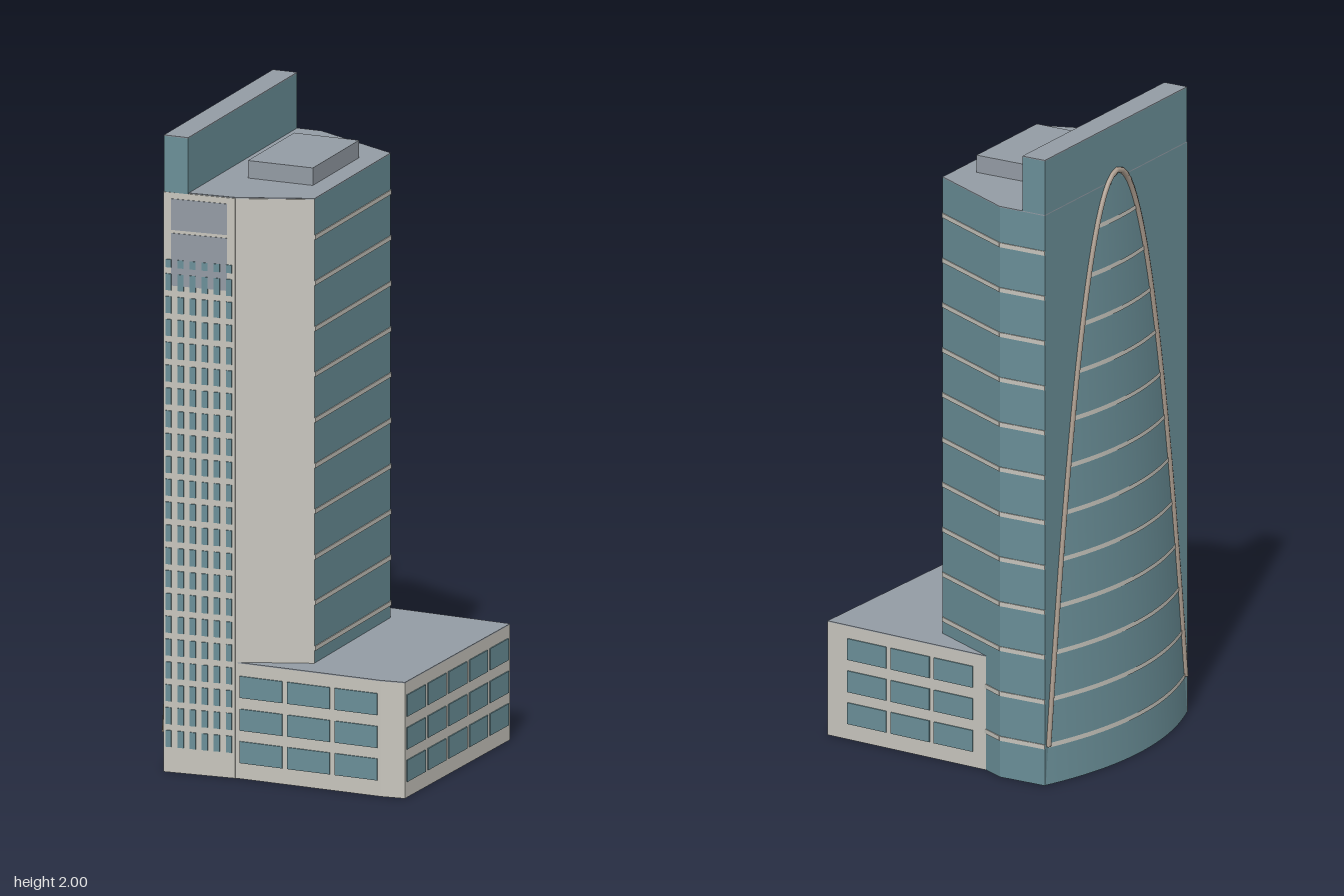
import * as THREE from 'three';
import { ParametricGeometry } from 'three/addons/geometries/ParametricGeometry.js';

const mat = (name, color, side = THREE.FrontSide) => {
  const m = new THREE.MeshStandardMaterial({ color, side });
  m.name = name;
  return m;
};

export function createModel() {
  const glass = mat('teal glass', 0x6b9099, THREE.DoubleSide);
  const stone = mat('pale stone', 0xc8c6be, THREE.DoubleSide);
  const roofGrey = mat('roof grey', 0x949ca5);
  const trim = mat('arch trim', 0xae9f91);

  const model = new THREE.Group();
  model.name = 'officeTower';
  const add = (parent, name, geo, material) => {
    const m = new THREE.Mesh(geo, material);
    m.name = name;
    parent.add(m);
    return m;
  };
  const group = (name) => {
    const g = new THREE.Group();
    g.name = name;
    model.add(g);
    return g;
  };

  // Vertical prism from a plan outline of [x, z] points
  const prism = (pts, y0, y1) => {
    const shape = new THREE.Shape(pts.map(([x, z]) => new THREE.Vector2(x, -z)));
    const geo = new THREE.ExtrudeGeometry(shape, { depth: y1 - y0, bevelEnabled: false });
    return geo.rotateX(-Math.PI / 2).translate(0, y0, 0);
  };

  // Thin plate on the wall running p -> q (left to right seen from outside)
  const plate = (parent, name, p, q, s0, s1, y0, y1, t, material) => {
    const dx = q[0] - p[0], dz = q[1] - p[1], len = Math.hypot(dx, dz);
    const ux = dx / len, uz = dz / len, s = (s0 + s1) / 2;
    const m = add(parent, name, new THREE.BoxGeometry(s1 - s0, y1 - y0, t), material);
    m.position.set(p[0] + ux * s - uz * t / 2, (y0 + y1) / 2, p[1] + uz * s + ux * t / 2);
    m.rotation.y = Math.atan2(-dz, dx);
  };
  const length = (p, q) => Math.hypot(q[0] - p[0], q[1] - p[1]);

  const ROOF = 1.825, FLOOR = 0.1435, BAND = 0.014;
  const bandHeights = Array.from({ length: 12 }, (_, i) => 0.117 + i * FLOOR);

  // Tower shaft, roof and penthouse
  const tower = group('tower');
  const plan = [[-0.37, 0.41], [-0.14, 0.395], [0.085, 0.31], [0.085, -0.265], [-0.21, -0.415], [-0.37, -0.415]];
  add(tower, 'shaft', prism(plan, 0, ROOF - 0.003), glass);
  add(tower, 'roof', prism(plan, ROOF - 0.003, ROOF), roofGrey);
  const penthouse = add(tower, 'penthouse', new THREE.BoxGeometry(0.215, 0.055, 0.35), roofGrey);
  penthouse.position.set(-0.0875, ROOF + 0.0275, 0);

  // Tall parapet slab on the curved side
  const slab = [[-0.37, 0.41], [-0.29, 0.41], [-0.29, -0.415], [-0.37, -0.415]];
  add(tower, 'parapetSlab', prism(slab, ROOF - 0.003, 1.997), glass);
  add(tower, 'parapetCap', prism(slab, 1.997, 2), roofGrey);

  // Floor bands on the glazed walls
  for (let i = 2; i < 5; i++) {
    for (const y of bandHeights) {
      plate(tower, 'floorBand', plan[i], plan[i + 1], 0, length(plan[i], plan[i + 1]), y, y + BAND, 0.003, stone);
    }
  }

  // Stone front with a grid of narrow windows
  const front = group('stoneFront');
  const [a, b, c] = plan;
  plate(front, 'frontWall', a, b, 0, length(a, b), 0, ROOF - 0.003, 0.003, stone);
  plate(front, 'angledWall', b, c, 0, length(b, c), 0, ROOF - 0.003, 0.003, stone);
  plate(front, 'upperPanel', a, b, 0.025, 0.205, 1.53, 1.695, 0.005, roofGrey);
  plate(front, 'upperPanel', a, b, 0.025, 0.205, 1.705, 1.803, 0.005, roofGrey);
  for (let row = 0; row < 22; row++) {
    const y = 0.08 + row * FLOOR / 2;
    for (let col = 0; col < 6; col++) {
      const s = 0.007 + col * 0.039;
      plate(front, 'narrowWindow', a, b, s, s + 0.019, y, Math.min(y + 0.052, 1.612), 0.007, glass);
    }
  }

  // Curved glass bay that leans back and dies into the flat wall
  const bay = group('curvedBay');
  const H = 1.84, HALF = 0.41, DEPTH = 0.08, X0 = -0.37;
  const bayStrip = (y0, y1, out, rows) => new ParametricGeometry((u, v, p) => {
    const y = y0 + (y1 - y0) * v, h = Math.max(0, 1 - y / H), t = u * 2 - 1;
    p.set(X0 - out - DEPTH * h * (1 - t * t), y, HALF * Math.sqrt(h) * t);
  }, 32, rows);
  add(bay, 'bayGlass', bayStrip(0, H, 0.0005, 60), glass);
  for (const y of bandHeights) add(bay, 'bayBand', bayStrip(y, y + BAND, 0.003, 1), stone);
  const foot = [];
  for (let i = 0; i <= 32; i++) {
    const t = 1 - i / 16;
    foot.push([X0 - DEPTH * (1 - t * t), HALF * t]);
  }
  add(bay, 'bayBase', prism(foot, 0, 0.002), glass);

  // Arch rib following the edge of the bay
  const rib = [];
  for (let i = 0; i <= 40; i++) {
    const t = (i / 20 - 1) * 0.97;
    rib.push(new THREE.Vector3(X0 - 0.002, 0.012 + H * (1 - t * t), HALF * t));
  }
  add(bay, 'archRib', new THREE.TubeGeometry(new THREE.CatmullRomCurve3(rib), 120, 0.01, 6), trim);

  // Low podium wing
  const podium = group('podium');
  const TOP = 0.365;
  const base = [[-0.14, 0.395], [0.35, 0.413], [0.425, 0.405], [0.445, -0.345], [-0.14, -0.38]];
  add(podium, 'podiumWalls', prism(base, 0, TOP - 0.003), stone);
  add(podium, 'podiumRoof', prism(base, TOP - 0.003, TOP), roofGrey);

  // Podium windows: three rows on each outer wall
  const windows = (p, q, start, pitch, width, count) => {
    for (const y of [0.05, 0.152, 0.255]) {
      for (let i = 0; i < count; i++) {
        const s = start + i * pitch;
        plate(podium, 'podiumWindow', p, q, s, s + width, y, y + 0.068, 0.004, glass);
      }
    }
  };
  windows(base[0], base[1], 0.015, 0.16, 0.143, 3);
  windows(base[2], base[3], 0.012, 0.148, 0.13, 5);
  windows(base[3], base[4], 0.075, 0.16, 0.143, 3);

  return model;
}
